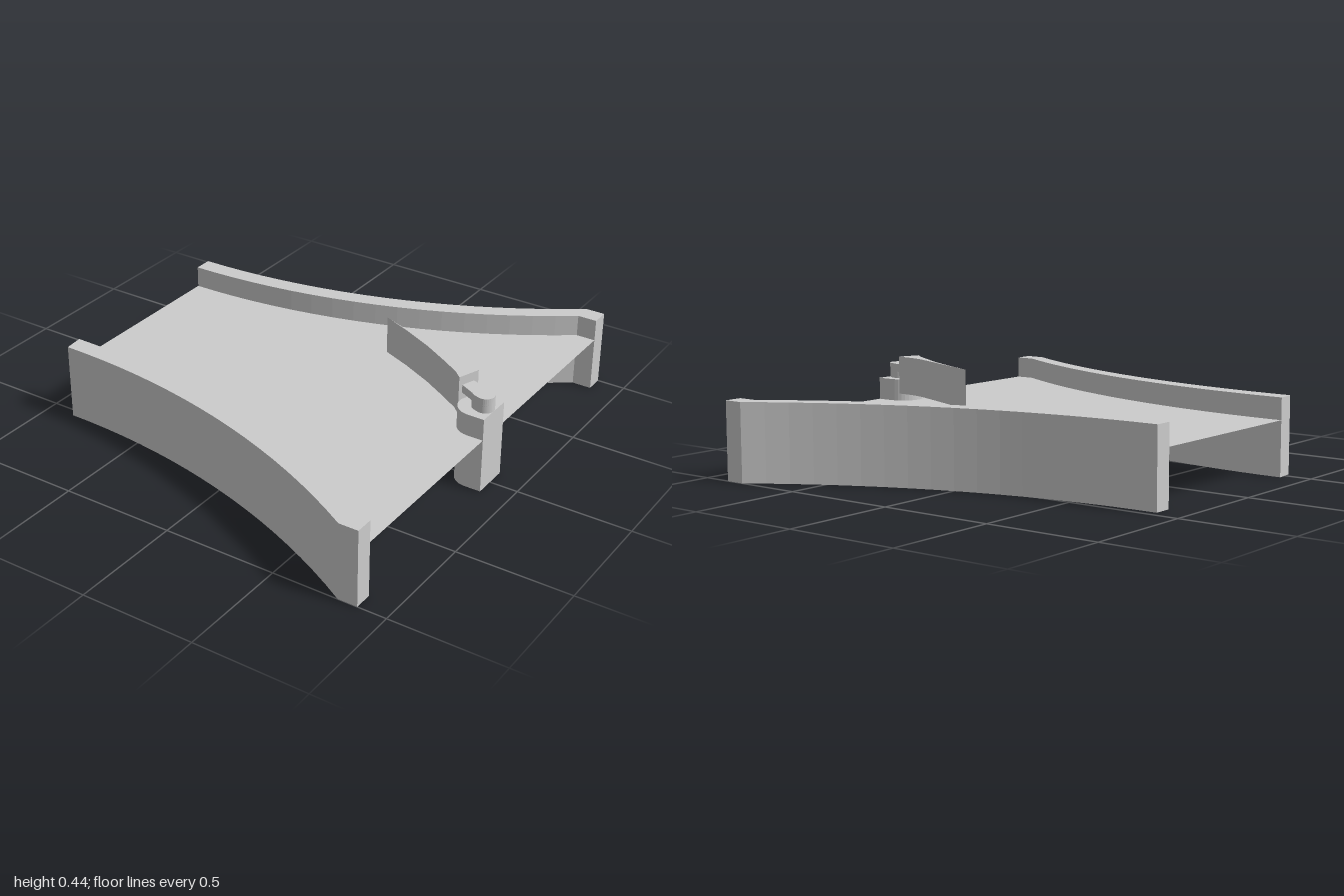
import * as THREE from 'three';

const WALL_TOP = 0.335, DECK_Y = 0.24, LEFT = -0.88, RIGHT = 0.875, BEND = 0.79;
const material = new THREE.MeshStandardMaterial({ color: 0xcccccc, flatShading: true });

// Upright prism from a plan outline given as [x, z] points
function prism(name, outline, y0, y1) {
  const shape = new THREE.Shape(outline.map(([x, z]) => new THREE.Vector2(x, -z)));
  const geo = new THREE.ExtrudeGeometry(shape, { depth: y1 - y0, bevelEnabled: false });
  geo.rotateX(-Math.PI / 2).translate(0, y0, 0);
  const mesh = new THREE.Mesh(geo, material);
  mesh.name = name;
  return mesh;
}

// Circular arc that starts parallel to x and flares from z0 to z1, then runs straight
function flare(z0, z1, startX = LEFT, segments = 18) {
  const run = BEND - LEFT, rise = Math.abs(z1 - z0);
  const radius = (run * run + rise * rise) / (2 * rise);
  const end = Math.asin(run / radius);
  const points = [];
  for (let i = 0; i <= segments; i++) {
    const a = (end * i) / segments;
    points.push([LEFT + radius * Math.sin(a), z0 + Math.sign(z1 - z0) * radius * (1 - Math.cos(a))]);
  }
  points[0][0] = startX;
  points.push([RIGHT, z1]);
  return points;
}

// Points along a circular arc in plan
function arc(cx, cz, r, from, to, n = 16) {
  return Array.from({ length: n + 1 }, (_, i) => {
    const a = from + ((to - from) * i) / n;
    return [cx + r * Math.cos(a), cz + r * Math.sin(a)];
  });
}

// Bar with round ends between two plan points
function capsule(x0, z0, x1, z1, r) {
  const d = Math.atan2(z1 - z0, x1 - x0), q = Math.PI / 2;
  return [...arc(x1, z1, r, d - q, d + q), ...arc(x0, z0, r, d + q, d + 3 * q)];
}

export function createModel() {
  const model = new THREE.Group();
  model.name = 'flaredChannel';

  // Curved side walls
  const backInner = flare(-0.38, -0.92), frontInner = flare(0.455, 0.92);
  model.add(prism('backWall', [...flare(-0.46, -1), ...backInner.slice().reverse()], 0, WALL_TOP));
  model.add(prism('frontWall', [...flare(0.537, 1, -0.873), ...frontInner.slice().reverse()], 0, WALL_TOP));

  // Thin deck between the walls
  const plan = [...backInner, ...frontInner.slice().reverse()];
  const deckShape = new THREE.Shape(plan.map(([x, z]) => new THREE.Vector2(x, -z)));
  const deckGeo = new THREE.ShapeGeometry(deckShape).rotateX(-Math.PI / 2).translate(0, DECK_Y, 0);
  const deckMaterial = material.clone();
  deckMaterial.side = THREE.DoubleSide;
  const deck = new THREE.Mesh(deckGeo, deckMaterial);
  deck.name = 'deck';
  model.add(deck);

  // Post with a rounded inner side
  const post = [[RIGHT, -0.083], [RIGHT, 0.083], ...arc(0.803, 0, 0.083, Math.PI / 2, Math.PI * 1.5)];
  model.add(prism('post', post, 0, WALL_TOP));

  // Pivot pin and the arm carrying the blade
  model.add(prism('pivotPin', capsule(0.815, -0.004, 0.835, 0.003, 0.04), WALL_TOP, 0.4));
  const arm = [[0.742, -0.068], ...arc(0.835, 0.003, 0.04, -1.22, 1.92), [0.72, -0.012]];
  model.add(prism('pivotArm', arm, 0.365, 0.4));

  // Tapered, slightly curved blade
  const blade = [
    [0.21, -0.272], [0.34, -0.222], [0.48, -0.162], [0.6, -0.112], [0.66, -0.097], [0.75, -0.09],
    [0.715, 0.005], [0.68, -0.028], [0.6, -0.078], [0.48, -0.148], [0.34, -0.217],
  ];
  model.add(prism('blade', blade, 0.275, 0.44));

  return model;
}
